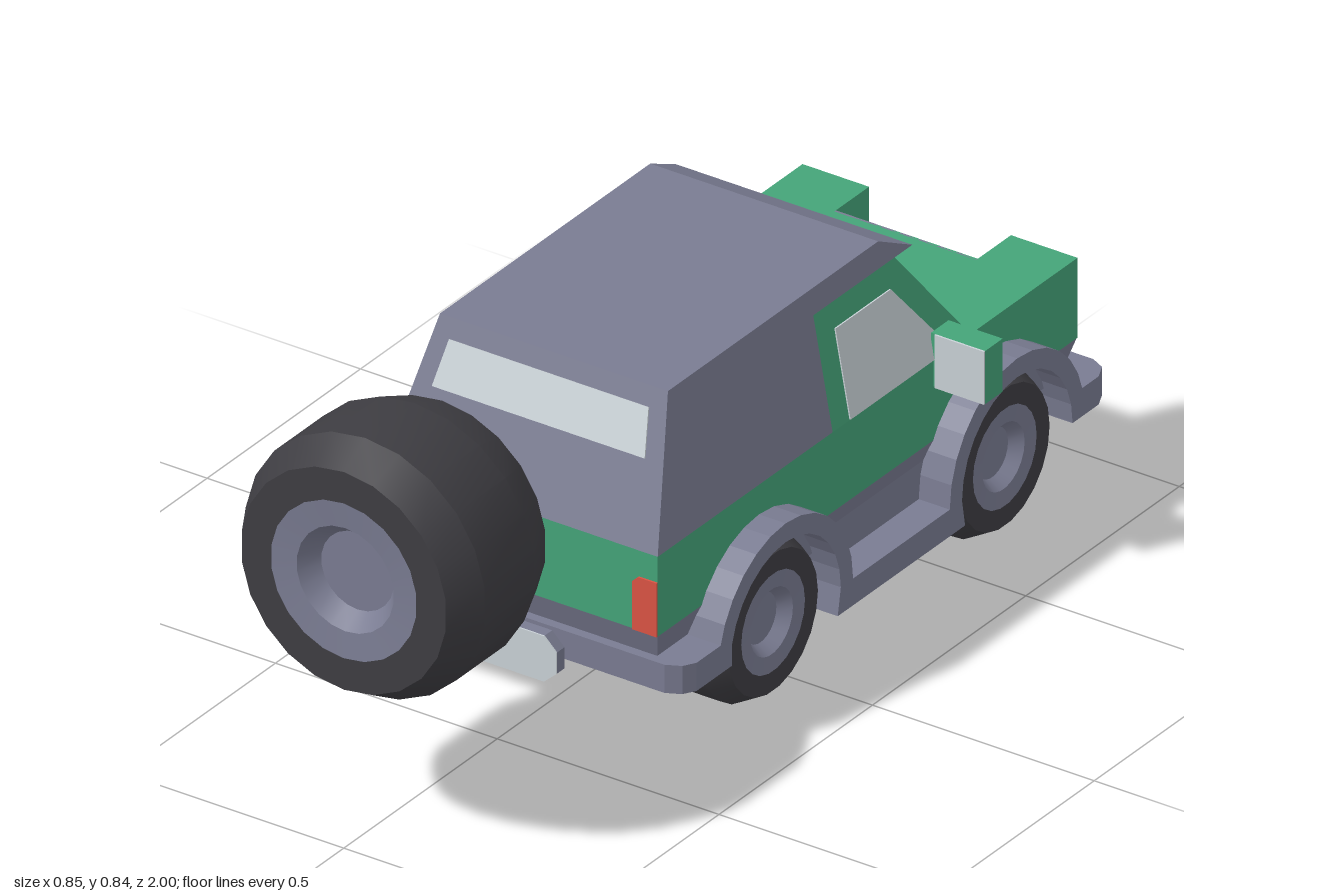
import * as THREE from 'three';
import { toCreasedNormals } from 'three/addons/utils/BufferGeometryUtils.js';

const mat = (name, color) => {
  const m = new THREE.MeshStandardMaterial({ color });
  m.name = name;
  return m;
};

// Half width of the car at a given height (sides lean inwards)
const halfWidth = (y) => (y > 0.455 ? 0.31 - (y - 0.455) * 0.186 : y < 0.285 ? 0.31 - (0.285 - y) * 0.27 : 0.31);

export function createModel() {
  const car = new THREE.Group();
  car.name = 'offRoadCar';
  const green = mat('greenPaint', 0x45a479);
  const grey = mat('greyTrim', 0x7a7c92);
  const black = mat('blackRubber', 0x3e3d42);
  const light = mat('paleGlass', 0xcad2d7);
  const red = mat('redLamp', 0xdb5444);
  const amber = mat('amberLamp', 0xd6a62c);

  const add = (name, geometry, material, parent = car) => {
    const mesh = new THREE.Mesh(geometry, material);
    mesh.name = name;
    parent.add(mesh);
    return mesh;
  };
  const toShape = (pts) => new THREE.Shape(pts.map(([a, b]) => new THREE.Vector2(a, b)));
  const box = (name, material, x0, x1, y0, y1, z0, z1) => {
    const g = new THREE.BoxGeometry(x1 - x0, y1 - y0, z1 - z0);
    g.translate((x0 + x1) / 2, (y0 + y1) / 2, (z0 + z1) / 2);
    return add(name, g, material);
  };
  // Side profile in (z, y), extruded from x0 to x1; lean follows the car's sides
  const profile = (pts, x0, x1, lean = false) => {
    const g = new THREE.ExtrudeGeometry(toShape(pts), { depth: x1 - x0, bevelEnabled: false });
    g.rotateY(-Math.PI / 2).translate(x1, 0, 0);
    if (lean) {
      const p = g.attributes.position;
      for (let i = 0; i < p.count; i++) {
        const x = p.getX(i);
        p.setX(i, x - Math.sign(x) * (0.31 - halfWidth(p.getY(i))));
      }
      g.computeVertexNormals();
    }
    return g;
  };
  // Thin plate drawn in (x, y), facing +z
  const plate = (pts, depth = 0.006) =>
    new THREE.ExtrudeGeometry(toShape(pts), { depth, bevelEnabled: false });

  // Body
  box('bodyShell', green, -0.31, 0.31, 0.285, 0.455, -0.835, 0.425);
  add('lowerBody', profile([[0.425, 0.285], [0.405, 0.23], [-0.92, 0.23], [-0.94, 0.285]], -0.31, 0.31, true), grey);
  box('chassis', grey, -0.23, 0.23, 0.115, 0.24, -0.8, 0.23);
  box('middleFloor', grey, -0.3, 0.3, 0.115, 0.285, -0.47, -0.1);
  add('grille', profile([[-0.83, 0.455], [-0.835, 0.455], [-0.89, 0.285], [-0.83, 0.285]], -0.16, 0.16), grey);

  // Cabin and canopy
  add('canopy', profile([[0.425, 0.455], [0.315, 0.74], [-0.37, 0.74], [-0.468, 0.69], [-0.145, 0.69], [-0.145, 0.455]],
    -0.31, 0.31, true), grey);
  add('doorFrame', profile([[-0.145, 0.455], [-0.145, 0.69], [-0.41, 0.69], [-0.595, 0.455]], -0.31, 0.31, true), green);
  const windshield = add('windshield', plate([[-0.265, 0.015], [0.265, 0.015], [0.23, 0.255], [-0.23, 0.255]]), light);
  windshield.position.set(0, 0.455, -0.595);
  windshield.rotation.set(Math.atan2(0.185, 0.235), Math.PI, 0);
  const rearWindow = add('rearWindow', plate([[-0.24, 0.17], [0.24, 0.17], [0.225, 0.265], [-0.225, 0.265]], 0.003), light);
  rearWindow.position.set(0, 0.455, 0.425);
  rearWindow.rotation.x = -Math.atan2(0.11, 0.285);

  // Bumpers with their plates
  for (const [name, inner, corner, outer, dir, y] of [
    ['rear', 0.27, 0.385, 0.425, 1, 0.125], ['front', -0.84, -0.925, -0.973, -1, 0.145]]) {
    const g = new THREE.ExtrudeGeometry(toShape([[-0.37, inner], [-0.37, corner], [-0.355, outer - dir * 0.015],
      [-0.325, outer], [0.325, outer], [0.355, outer - dir * 0.015], [0.37, corner], [0.37, inner]]),
    { depth: 0.06, bevelEnabled: false });
    g.rotateX(Math.PI / 2).translate(0, 0.23, 0);
    add(name + 'Bumper', g, grey);
    const outline = [[-0.1, 0.025], [-0.072, 0], [0.072, 0], [0.1, 0.025], [0.1, 0.07], [0.072, 0.097], [-0.072, 0.097], [-0.1, 0.07]];
    const holder = new THREE.Group();
    holder.name = name + 'Plate';
    holder.position.set(0, y, outer);
    if (dir < 0) holder.rotation.y = Math.PI;
    add('plateHolder', plate(outline, 0.024), grey, holder);
    add('plateFace', plate(outline, 0.003), light, holder).position.z = 0.024;
    car.add(holder);
  }

  // Wheel: lathe about y with the hub side up
  const lathe = (pts) => toCreasedNormals(
    new THREE.LatheGeometry(pts.map(([r, h]) => new THREE.Vector2(r, h)), 22), 0.45);
  const tyre = lathe([[0, -0.16], [0.235, -0.16], [0.272, -0.07], [0.272, 0.09], [0.232, 0.16], [0.165, 0.16]]);
  const rim = lathe([[0.165, 0.16], [0.11, 0.155], [0.082, 0.115], [0, 0.115]]);
  const wheel = (name, scale) => {
    const w = new THREE.Group();
    w.name = name;
    add('tyre', tyre, black, w);
    add('rim', rim, grey, w);
    w.scale.setScalar(scale);
    car.add(w);
    return w;
  };
  const spare = wheel('spareWheel', 1);
  spare.position.set(0, 0.572, 0.84);
  spare.rotation.x = Math.PI / 2;

  const arc = (cz, r, a0, a1, n = 14) => Array.from({ length: n + 1 }, (_, i) => {
    const a = a0 + ((a1 - a0) * i) / n;
    return [cz + r * Math.cos(a), 0.172 + r * Math.sin(a)];
  });
  const axles = [['rear', 0.095], ['front', -0.66]];

  // Paired parts, right then left
  for (const s of [-1, 1]) {
    const side = s > 0 ? 'left' : 'right';
    const span = (a, b) => (s > 0 ? [a, b] : [-b, -a]);
    for (const [end, z] of axles) {
      const w = wheel(`${side}${end}Wheel`, 0.63);
      w.position.set(s * 0.241, 0.172, z);
      w.rotation.z = -s * Math.PI / 2;
      add(`${side}${end}Arch`, profile([...arc(z, 0.22, 0, Math.PI), ...arc(z, 0.18, Math.PI, 0)], ...span(0.29, 0.37)), grey);
      add(`${side}${end}WheelWell`, profile(arc(z, 0.2, 0.3, Math.PI - 0.3), ...span(0.3, 0.313)), grey);
    }
    add(side + 'Sill', profile([[-0.125, 0.172], [-0.44, 0.172], [-0.48, 0.172], [-0.49, 0.115], [-0.075, 0.115], [-0.085, 0.172]],
      ...span(0.29, 0.37)), grey);
    add(side + 'Window', profile([[-0.2, 0.457], [-0.2, 0.64], [-0.38, 0.64], [-0.495, 0.5], [-0.495, 0.457]],
      ...span(0.306, 0.313), true), light);

    // Headlamp block and lamp
    box(side + 'LampBlock', green, ...span(0.16, 0.31), 0.285, 0.455, -0.943, -0.83);
    const lamp = new THREE.CylinderGeometry(0.052, 0.052, 0.006, 8);
    lamp.rotateY(Math.PI / 8).rotateX(-Math.PI / 2);
    add(side + 'Headlamp', lamp, amber).position.set(s * 0.235, 0.37, -0.944);

    // Tail lamp with a clipped inner corner
    add(side + 'TailLamp', plate([[0.255, 0.285], [0.31, 0.285], [0.31, 0.4], [0.268, 0.4], [0.255, 0.388]]
      .map(([x, y]) => [s * x, y]), 0.004), red).position.z = 0.425;

    // Door mirror
    box(side + 'Mirror', green, ...span(0.305, 0.427), 0.4, 0.513, -0.53, -0.473);
    box(side + 'MirrorGlass', light, ...span(0.315, 0.427), 0.4, 0.513, -0.473, -0.469);
  }
  return car;
}
